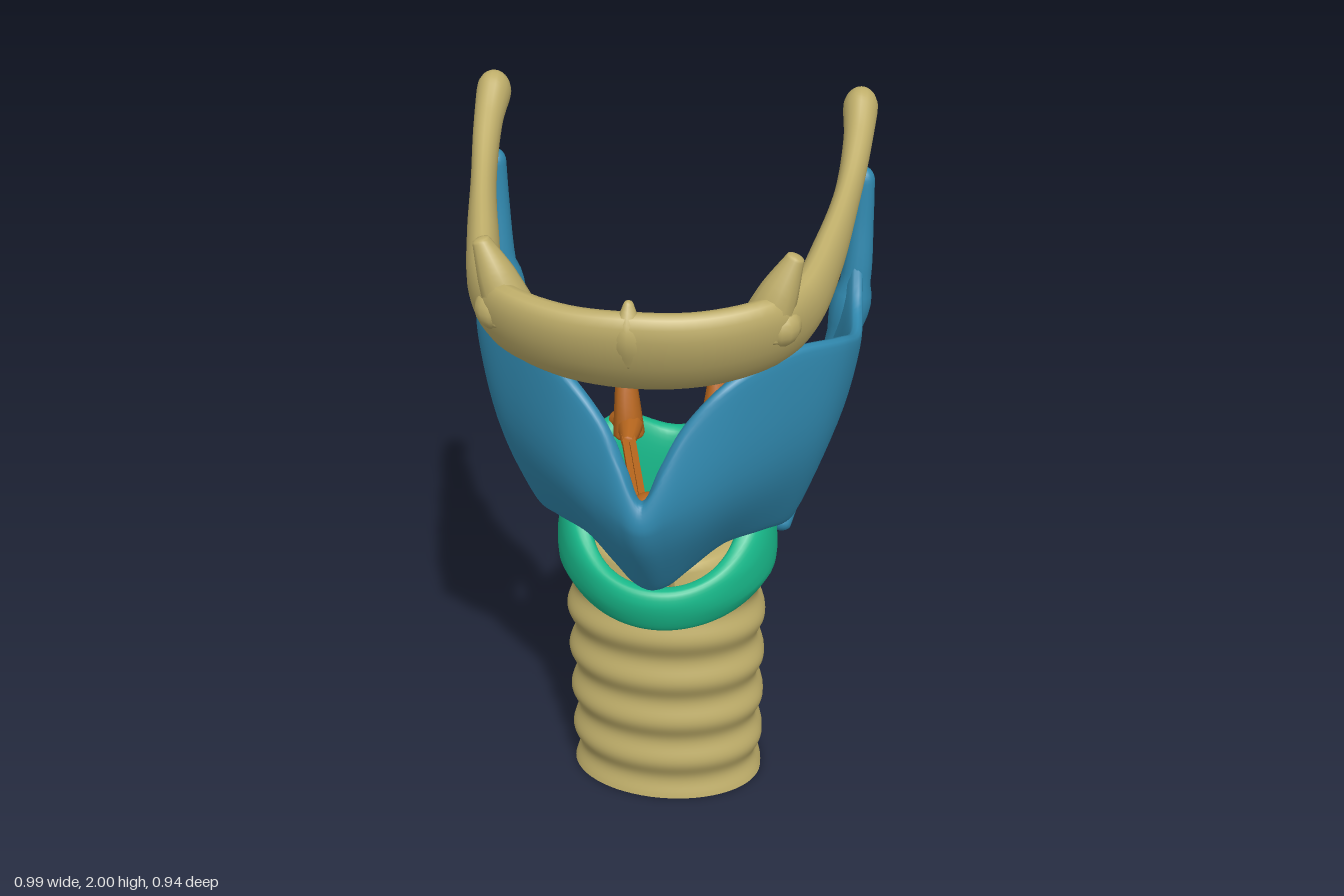
import * as THREE from 'three';

const V = (x, y, z) => new THREE.Vector3(x, y, z);
const mat = (color) => new THREE.MeshStandardMaterial({ color, side: THREE.DoubleSide });
const BONE = mat(0xbfae6a), BLUE = mat(0x3088ae), GREEN = mat(0x18b98a), BROWN = mat(0xb5651d);

// Surface from f(u, v); v always wraps round, u can wrap too. Winding is turned outwards.
function surface(nu, nv, f, wrapU = false) {
  const pos = [], idx = [], rows = wrapU ? nu : nu + 1;
  for (let i = 0; i < rows; i++)
    for (let j = 0; j < nv; j++) pos.push(...f(i / nu, j / nv).toArray());
  for (let i = 0; i < nu; i++)
    for (let j = 0; j < nv; j++) {
      const i2 = (i + 1) % rows, j2 = (j + 1) % nv;
      const a = i * nv + j, b = i2 * nv + j, c = i2 * nv + j2, d = i * nv + j2;
      idx.push(a, b, d, b, c, d);
    }
  const p = (k) => V(pos[3 * k], pos[3 * k + 1], pos[3 * k + 2]);
  let vol = 0;
  for (let k = 0; k < idx.length; k += 3) vol += p(idx[k]).dot(p(idx[k + 1]).cross(p(idx[k + 2])));
  if (vol < 0) idx.reverse();
  const g = new THREE.BufferGeometry();
  g.setAttribute('position', new THREE.Float32BufferAttribute(pos, 3));
  g.setIndex(idx);
  g.computeVertexNormals();
  return g;
}

// Elliptical sweep with rounded ends; radii are [along ref, across] for each point.
function sweep(points, radii, ref, nu = 40, nv = 16, warp = (p) => p) {
  const path = new THREE.CatmullRomCurve3(points.map((p) => V(...p)));
  const rad = new THREE.CatmullRomCurve3(radii.map((r) => V(r[0], r[1] ?? r[0], 0)));
  return surface(nu, nv, (u, v) => {
    // bunch the rings near both ends so that the caps are round
    const t = 0.5 - 0.5 * Math.cos(Math.PI * u);
    const c = path.getPoint(t), T = path.getTangent(t), r = rad.getPoint(t);
    const e = Math.min(1, Math.min(t, 1 - t) / 0.03), cap = Math.sqrt(Math.max(0, 1 - (1 - e) ** 2));
    const side = T.clone().cross(ref).normalize(), up = side.clone().cross(T);
    const a = v * Math.PI * 2;
    return warp(c.addScaledVector(up, r.x * cap * Math.cos(a)).addScaledVector(side, r.y * cap * Math.sin(a)));
  });
}

const mirrorList = (list, flip) => [...list.slice(1).reverse().map(flip), ...list];
const flipX = ([x, y, z]) => [-x, y, z];
const spow = (x, e) => Math.sign(x) * Math.abs(x) ** e;
const lim = (t) => Math.min(1, Math.max(0, t));

export function createModel() {
  const model = new THREE.Group();
  const add = (name, geo, material, parent = model) => {
    const m = new THREE.Mesh(geo, material);
    m.name = name;
    parent.add(m);
    return m;
  };
  const UP = V(0, 1, 0), FWD = V(0, 0, 1);

  // Windpipe: ringed front, flat grooved back
  const pipe = (y, a) => {
    const c = Math.cos(a), s = Math.sin(a);
    const ring = 0.01 * Math.cos((2 * Math.PI * (y - 0.135)) / 0.148) * Math.min(1, Math.max(0, c + 0.75) * 2);
    const depth = c > 0 ? (0.17 + ring) * c
      : (0.04 * y - 0.207) * Math.min(1, -1.5 * c) + 0.035 * Math.max(0, -c) ** 6;
    return V((0.258 + ring) * s, y, -0.27 + 0.1 * y + depth);
  };
  add('trachea', surface(72, 64, (u, v) => pipe(0.72 * u, v * Math.PI * 2)), BONE);
  // Closed upper end inside the ring cartilage
  add('tracheaTop', surface(10, 48, (u, v) => {
    const a = v * Math.PI * 2, k = Math.min(1, 2 * (1 - u));
    const rim = V(0.187 * k * Math.sin(a), 0.83, -0.183 + 0.155 * k * Math.cos(a));
    return pipe(0.72, a).lerp(rim, lim(2 * u));
  }), BONE);

  // Signet ring cartilage: low narrow arch in front, tall broad plate behind
  add('cricoidCartilage', surface(80, 32, (u, v) => {
    const a = u * Math.PI * 2, s = Math.sin(a), c = Math.cos(a), b = v * Math.PI * 2;
    const back = (1 - c) / 2;
    const top = 0.785 + 0.37 * back ** 1.25 - 0.11 * Math.max(0, -c) ** 8;
    const low = 0.65 + 0.045 * back - 0.04 * Math.max(0, -c) * s * s;
    const y = (top + low) / 2 + ((top - low) / 2) * spow(Math.sin(b), 0.65);
    const w = 0.5 + 0.5 * spow(Math.cos(b), 0.7);
    const k = 1 - 0.45 * Math.max(0, y - 0.8) - 1.3 * Math.max(0, 0.73 - y);
    const inner = V(0.185 * s, y, -0.18 + 0.16 * c);
    const outer = V(0.288 * k * s * (1 - 0.19 * c), y, -0.2 + 0.238 * k * c);
    return inner.lerp(outer, w);
  }, true), GREEN);

  // Shield cartilage: columns of [bottom, middle, top] from the midline to the back edge
  const columns = [
    [[0, 0.84, 0.08], [0, 1.13, 0.265], [0, 1.2, 0.255]],
    [[0.035, 0.845, 0.066], [0.04, 1.14, 0.245], [0.045, 1.285, 0.238]],
    [[0.08, 0.875, 0.036], [0.1, 1.15, 0.2], [0.1, 1.385, 0.2]],
    [[0.16, 0.92, -0.028], [0.19, 1.18, 0.13], [0.2, 1.48, 0.14]],
    [[0.255, 0.92, -0.105], [0.3, 1.2, 0.02], [0.32, 1.505, 0.03]],
    [[0.315, 0.91, -0.18], [0.38, 1.2, -0.09], [0.43, 1.475, -0.1]],
    [[0.325, 0.96, -0.26], [0.41, 1.2, -0.21], [0.464, 1.435, -0.22]],
    [[0.32, 0.99, -0.33], [0.41, 1.2, -0.33], [0.462, 1.46, -0.32]],
    [[0.315, 0.95, -0.41], [0.395, 1.2, -0.415], [0.455, 1.58, -0.4]],
  ];
  const full = mirrorList(columns, (col) => col.map(flipX));
  const rails = [0, 1, 2].map((k) => new THREE.CatmullRomCurve3(full.map((col) => V(...col[k]))));
  const sheet = (u, v) => new THREE.CatmullRomCurve3(rails.map((r) => r.getPoint(u))).getPoint(v);
  const E = 0.01;
  const thyroid = new THREE.Group();
  thyroid.name = 'thyroidCartilage';
  model.add(thyroid);
  add('thyroidPlates', surface(96, 40, (u, v) => {
    const a = v * Math.PI * 2, h = 0.5 - 0.5 * Math.cos(a);
    const du = sheet(lim(u + E), h).sub(sheet(lim(u - E), h));
    const dv = sheet(u, lim(h + E)).sub(sheet(u, lim(h - E)));
    return sheet(u, h).addScaledVector(du.cross(dv).normalize(), 0.026 * spow(Math.sin(a), 0.5));
  }), BLUE, thyroid);

  // Back border of the shield, running into the upper and lower horns
  const hornPath = [[0.455, 1.778, -0.415], [0.455, 1.64, -0.412], [0.45, 1.48, -0.402], [0.425, 1.33, -0.403],
    [0.38, 1.15, -0.415], [0.335, 1.0, -0.425], [0.312, 0.9, -0.423], [0.3, 0.82, -0.4], [0.285, 0.76, -0.345]];
  const hornRadii = [[0.026], [0.031], [0.038], [0.038], [0.036], [0.042], [0.041], [0.036], [0.03]];

  // Hyoid bone: horseshoe with a deep, forward-leaning body
  const hyoid = new THREE.Group();
  hyoid.name = 'hyoidBone';
  model.add(hyoid);
  const hyoidPath = [[0, 1.668, 0.403], [0.15, 1.67, 0.38], [0.285, 1.685, 0.305], [0.35, 1.7, 0.2],
    [0.393, 1.745, 0.03], [0.425, 1.82, -0.15], [0.438, 1.9, -0.28], [0.437, 1.972, -0.4]];
  const hyoidRadii = [[0.112, 0.056], [0.108, 0.056], [0.1, 0.052], [0.08, 0.042],
    [0.07, 0.037], [0.05, 0.03], [0.042, 0.034], [0.058, 0.046]];
  add('hyoidBody', sweep(mirrorList(hyoidPath, flipX), mirrorList(hyoidRadii, (r) => r), UP, 120, 18, (p) => {
    p.z += 0.42 * (p.y - 1.69) * lim((p.z - 0.15) / 0.15);
    return p;
  }), BONE, hyoid);
  add('hyoidTubercle', sweep([[0, 1.65, 0.42], [0, 1.73, 0.443], [0, 1.805, 0.43]],
    [[0.02, 0.04], [0.028, 0.035], [0.008]], FWD, 16, 10), BONE, hyoid);

  // Anchor at the front of the vocal cords
  add('cordAnchor', new THREE.SphereGeometry(1, 16, 10).scale(0.048, 0.032, 0.036).translate(0, 1.09, 0.092), BROWN);

  // Paired parts
  for (const s of [1, -1]) {
    const side = s > 0 ? 'left' : 'right';
    const m = (list) => list.map(([x, y, z]) => [s * x, y, z]);
    add(side + 'ThyroidHorns', sweep(m(hornPath), hornRadii, FWD, 60), BLUE, thyroid);
    add(side + 'LesserHorn', sweep(m([[0.27, 1.69, 0.31], [0.305, 1.79, 0.31], [0.337, 1.87, 0.305]]),
      [[0.06], [0.042], [0.018]], FWD, 20, 12), BONE, hyoid);
    add(side + 'HyoidKnob', new THREE.SphereGeometry(0.05, 14, 10).translate(s * 0.305, 1.71, 0.31), BONE, hyoid);

    // Thin strand from the ring cartilage up to the cord anchor
    add(side + 'FrontStrand', sweep(m([[0.04, 0.76, -0.025], [0.032, 0.91, 0.03], [0.025, 1.08, 0.085]]),
      [[0.008], [0.008], [0.008]], FWD, 12, 8), BONE);

    // Arytenoid pyramid with its outer and forward processes
    const ary = new THREE.Group();
    ary.name = side + 'ArytenoidCartilage';
    model.add(ary);
    add('pyramid', sweep(m([[0.108, 1.05, -0.295], [0.113, 1.12, -0.305], [0.117, 1.2, -0.32], [0.108, 1.265, -0.335]]),
      [[0.048, 0.042], [0.042, 0.036], [0.028, 0.028], [0.014]], FWD, 24, 10), BROWN, ary);
    add('outerProcess', sweep(m([[0.1, 1.09, -0.3], [0.13, 1.085, -0.32], [0.155, 1.075, -0.335]]),
      [[0.035], [0.028], [0.02]], UP, 16, 10), BROWN, ary);
    add('forwardProcess', sweep(m([[0.105, 1.09, -0.29], [0.1, 1.09, -0.24], [0.097, 1.09, -0.19]]),
      [[0.035], [0.026], [0.016]], UP, 16, 10), BROWN, ary);

    // Vocal cord: two parallel square strands
    for (const off of [-0.009, 0.009]) {
      const a = V(s * 0.1 + off, 1.09, -0.22), b = V(s * 0.03 + off, 1.09, 0.08);
      const cord = add(side + 'VocalCord', new THREE.BoxGeometry(0.016, 0.022, a.distanceTo(b)), BROWN);
      cord.position.copy(a).lerp(b, 0.5);
      cord.lookAt(b);
    }
  }
  return model;
}
